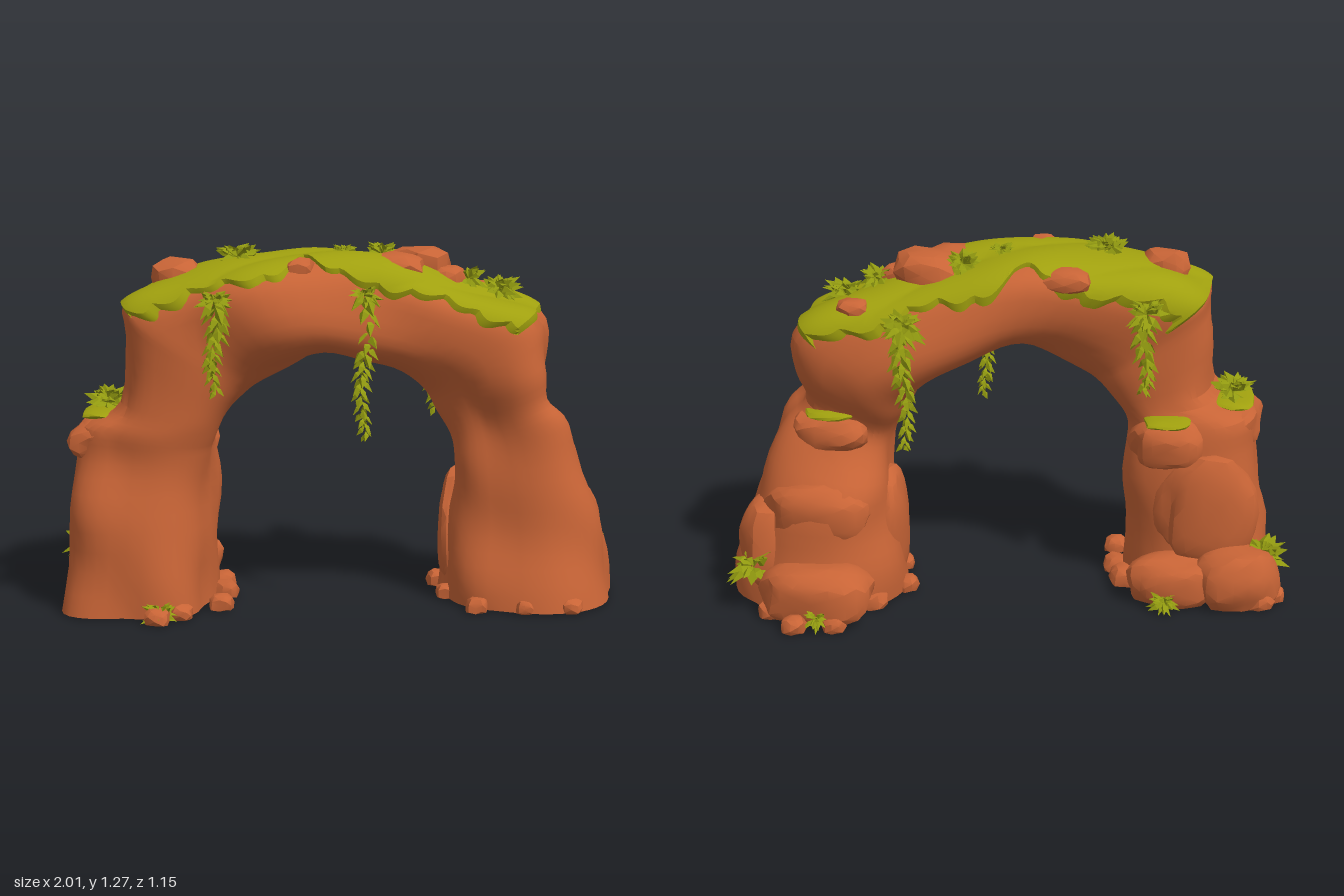
import * as THREE from 'three';
import { mergeGeometries, toCreasedNormals } from 'three/addons/utils/BufferGeometryUtils.js';

const rockMat = new THREE.MeshStandardMaterial({ color: 0xc86436 });
rockMat.name = 'red sandstone';
const mossMat = new THREE.MeshStandardMaterial({ color: 0xa0a00e, side: THREE.DoubleSide });
mossMat.name = 'moss green';
const leafMat = new THREE.MeshStandardMaterial({ color: 0x929a10, side: THREE.DoubleSide });
leafMat.name = 'leaf green';

let seed = 7;
const rnd = () => (seed = (seed * 16807) % 2147483647) / 2147483647;
const spow = (v, e) => Math.sign(v) * Math.abs(v) ** e;
// smooth lumps plus sharper ridges
const lumps = (x, y, z) =>
  0.5 * Math.sin(9 * x + 4 * y + 1) * Math.sin(8 * z - 5 * y) +
  0.6 * (Math.abs(Math.sin(7 * x + 9 * z + 2 * y)) - 0.6) +
  0.35 * Math.sin(17 * y + 6 * x) * Math.sin(13 * z + 5 * x);

// arch cross-sections: inner x,y, outer x,y, front z, back z
const sections = [
  [-0.40, 0.01, -0.94, 0.01, 0.51, -0.08], [-0.41, 0.30, -0.90, 0.30, 0.47, -0.06],
  [-0.41, 0.53, -0.88, 0.53, 0.43, -0.05], [-0.40, 0.60, -0.86, 0.655, 0.42, -0.03],
  [-0.36, 0.67, -0.70, 0.735, 0.40, 0.00], [-0.29, 0.74, -0.69, 1.00, 0.41, 0.00],
  [-0.24, 0.79, -0.67, 1.10, 0.42, -0.02], [-0.13, 0.87, -0.40, 1.19, 0.43, -0.09],
  [0.00, 0.91, -0.10, 1.24, 0.37, -0.16], [0.13, 0.87, 0.20, 1.20, 0.30, -0.23],
  [0.25, 0.83, 0.46, 1.12, 0.24, -0.28], [0.34, 0.76, 0.72, 1.03, 0.19, -0.29],
  [0.38, 0.69, 0.76, 0.86, 0.16, -0.26], [0.42, 0.60, 0.755, 0.735, 0.14, -0.20],
  [0.42, 0.50, 0.835, 0.64, 0.14, -0.24], [0.42, 0.38, 0.90, 0.41, 0.15, -0.34],
  [0.40, 0.20, 0.96, 0.20, 0.18, -0.38], [0.39, 0.01, 0.99, 0.01, 0.23, -0.40],
];
const LAST = sections.length - 1;
const curveOf = (i, j) => new THREE.CatmullRomCurve3(
  sections.map(s => new THREE.Vector3(s[i], s[j], 0)), false, 'catmullrom', 0.5);
const inner = curveOf(0, 1), outer = curveOf(2, 3), depth = curveOf(4, 5);

// point on the arch: t along the sections, a around them (0 = outer side), lifted by off
function archPoint(t, a, off = 0) {
  const i = inner.getPoint(t / LAST), o = outer.getPoint(t / LAST), d = depth.getPoint(t / LAST);
  const c = new THREE.Vector3().addVectors(i, o).multiplyScalar(0.5).setZ((d.x + d.y) / 2);
  // squarish bridge with a rounder underside, rounder legs
  const leg = THREE.MathUtils.smoothstep(Math.abs(t - 8.5), 3.5, 6);
  const e = (Math.cos(a) < 0 ? 0.74 : 0.62) + (Math.cos(a) < 0 ? 0.04 : 0.16) * leg;
  const p = o.sub(i).multiplyScalar(0.5 * spow(Math.cos(a), e));
  p.z = (d.x - d.y) / 2 * spow(Math.sin(a), e);
  const dir = p.clone().normalize();
  p.add(c);
  p.addScaledVector(dir, 0.032 * lumps(p.x, p.y, p.z) + off);
  p.y = Math.max(p.y, 0.01);
  return p;
}

// surface from a function of two grid indices
function grid(nu, nv, fn, capped) {
  const pos = [], index = [];
  for (let i = 0; i <= nu; i++) for (let j = 0; j <= nv; j++) pos.push(...fn(i, j).toArray());
  const id = (i, j) => i * (nv + 1) + j;
  for (let i = 0; i < nu; i++) for (let j = 0; j < nv; j++)
    index.push(id(i, j), id(i, j + 1), id(i + 1, j), id(i + 1, j), id(i, j + 1), id(i + 1, j + 1));
  if (capped) for (let j = 1; j < nv - 1; j++)
    index.push(id(0, 0), id(0, j + 1), id(0, j), id(nu, 0), id(nu, j), id(nu, j + 1));
  const g = new THREE.BufferGeometry();
  g.setAttribute('position', new THREE.Float32BufferAttribute(pos, 3));
  g.setIndex(index);
  return toCreasedNormals(g, 0.45);
}

// squarish, lumpy stone standing on or above the ground
function stone([x, y, z, rx, ry, rz], detail = 3) {
  const g = new THREE.IcosahedronGeometry(1, detail), p = g.attributes.position;
  for (let i = 0; i < p.count; i++) {
    const a = p.getX(i), b = p.getY(i), c = p.getZ(i);
    const k = 1 + 0.18 * lumps(a * 0.3 + x * 5, b * 0.3 + y * 5, c * 0.3 + z * 5);
    p.setXYZ(i, x + rx * k * spow(a, 0.8), Math.max(0.005, y + ry * k * spow(b, 0.8)), z + rz * k * spow(c, 0.8));
  }
  return toCreasedNormals(g, 0.5);
}

// folded pointed leaf from a base point along a direction
function leaf(base, dir, len, wide) {
  const d = dir.clone().normalize();
  const side = new THREE.Vector3(rnd() - 0.5, 0.8, rnd() - 0.5).cross(d).normalize().multiplyScalar(wide);
  const up = d.clone().cross(side).normalize().multiplyScalar(wide * 0.5);
  const mid = base.clone().addScaledVector(d, len * 0.5);
  const tip = base.clone().addScaledVector(d, len);
  tip.y -= len * 0.2;
  const l = mid.clone().add(side).sub(up), r = mid.clone().sub(side).sub(up);
  mid.add(up);
  const g = new THREE.BufferGeometry().setFromPoints(
    [base, mid, l, l, mid, tip, base, r, mid, mid, r, tip]);
  g.computeVertexNormals();
  return g;
}

// round tuft of broad leaves fanned around a point
function tuft(x, y, z, r) {
  const leaves = [], c = new THREE.Vector3(x, y, z);
  for (let i = 0; i < 38; i++) {
    const a = i * 2.4, e = 1.9 * rnd() - 0.55;
    const g = leaf(c, new THREE.Vector3(Math.cos(a), e, Math.sin(a)), r * (0.85 + 0.35 * rnd()), r * 0.24);
    // leaves never dip below the ground
    const p = g.attributes.position;
    for (let k = 0; k < p.count; k++) p.setY(k, Math.max(0.01, p.getY(k)));
    leaves.push(g);
  }
  return mergeGeometries(leaves);
}

// hanging vine: leaves in a tapering column
function vine(x, top, z, bottom) {
  const leaves = [], n = Math.round((top - bottom) * 100);
  for (let i = 0; i < n; i++) {
    const f = i / n, a = i * 2.4, y = top + (bottom + 0.04 - top) * f;
    const c = new THREE.Vector3(x + 0.012 * Math.sin(f * 7), y, z + 0.012 * Math.cos(f * 5));
    leaves.push(leaf(c, new THREE.Vector3(Math.cos(a), -0.9, Math.sin(a)), 0.075 * (1 - 0.5 * f), 0.019 * (1 - 0.4 * f)));
  }
  return mergeGeometries(leaves);
}

export function createModel() {
  const model = new THREE.Group();
  const add = (name, geo, mat) => {
    const m = new THREE.Mesh(geo, mat);
    m.name = name;
    model.add(m);
  };

  // main arch with both legs
  add('rockArch', grid(68, 40, (i, j) => archPoint(i / 68 * LAST, (j % 40) / 40 * Math.PI * 2), true), rockMat);

  // ledges and boulders against the legs
  for (const b of [
    [-0.76, 0.60, 0.21, 0.13, 0.085, 0.19], [-0.56, 0.57, 0.02, 0.14, 0.09, 0.12],
    [-0.82, 0.09, -0.08, 0.15, 0.12, 0.13], [-0.60, 0.08, -0.10, 0.16, 0.10, 0.11],
    [-0.70, 0.32, -0.01, 0.17, 0.22, 0.10],
    [0.64, 0.10, -0.40, 0.20, 0.11, 0.13], [0.66, 0.36, -0.26, 0.19, 0.11, 0.12],
    [0.62, 0.62, -0.14, 0.15, 0.08, 0.12], [0.84, 0.22, -0.20, 0.12, 0.18, 0.16],
    [0.71, 0.61, -0.02, 0.09, 0.09, 0.14], [0.43, 0.24, -0.10, 0.06, 0.21, 0.12],
    [0.56, 0.90, -0.05, 0.17, 0.12, 0.19],
  ]) add('boulder', stone(b), rockMat);

  // stones on the crown
  for (const b of [
    [-0.52, 1.16, 0.21, 0.085, 0.07, 0.09], [0.22, 1.185, 0.08, 0.11, 0.06, 0.11],
    [0.30, 1.195, -0.04, 0.11, 0.07, 0.10], [0.40, 1.15, 0.00, 0.06, 0.05, 0.07],
    [0.53, 1.09, -0.20, 0.06, 0.035, 0.05], [-0.20, 1.18, -0.08, 0.09, 0.045, 0.06],
    [-0.08, 1.20, 0.29, 0.05, 0.04, 0.05],
  ]) add('crownStone', stone(b, 1), rockMat);

  // pebbles round the feet: x, z, radius
  for (const [x, z, r] of [
    [-0.96, -0.06, 0.04], [-0.91, -0.12, 0.05], [-0.36, 0.30, 0.045], [-0.38, 0.12, 0.05],
    [-0.42, 0.02, 0.06], [-0.54, 0.52, 0.045], [-0.47, 0.45, 0.04], [0.37, -0.14, 0.045],
    [0.41, 0.04, 0.04], [0.53, 0.22, 0.04], [0.70, 0.22, 0.035], [0.86, 0.19, 0.04],
    [0.70, -0.53, 0.045], [0.56, -0.51, 0.04], [0.80, -0.42, 0.05], [0.46, -0.30, 0.05],
  ]) add('pebble', stone([x, 0.025, z, r, r * 0.8, r], 1), rockMat);

  // ragged moss blanket over the crown, its rim tucked into the rock
  add('mossBlanket', grid(100, 36, (i, j) => {
    const s = j / 18 - 1, t = 5.7 + 5.4 * i / 100;
    const back = s < 0 ? 1 : 0;
    const reach = Math.min(1.48, 0.98 + 0.22 * back + 0.14 * Math.sin(t * 4.3 + 2 * back)
      + 0.2 * Math.abs(Math.sin(t * 7 + 2 * back))
      - 0.7 * Math.exp(-(((t - 8.1) / 0.2) ** 2)));
    const rim = Math.min(1, (1 - Math.abs(s)) * 6, i / 3, (100 - i) / 3);
    return archPoint(t, s * reach, -0.008 + 0.024 * rim);
  }), mossMat);

  // moss pads on the ledges
  for (const b of [
    [-0.78, 0.685, 0.20, 0.08, 0.018, 0.14], [-0.56, 0.655, -0.01, 0.09, 0.016, 0.08],
    [0.62, 0.695, -0.18, 0.09, 0.016, 0.07],
  ]) add('mossPad', stone(b, 2), mossMat);

  // leafy tufts: x, y, z, radius
  for (const p of [
    [-0.78, 0.71, 0.18, 0.09], [-0.91, 0.15, -0.01, 0.10], [-0.54, 0.03, 0.49, 0.07],
    [-0.32, 1.225, 0.16, 0.085], [0.04, 1.24, 0.05, 0.05], [0.16, 1.225, -0.07, 0.07],
    [0.47, 1.145, -0.03, 0.075], [0.58, 1.10, -0.07, 0.085], [-0.57, 0.04, -0.20, 0.06],
    [0.88, 0.16, -0.35, 0.095], [0.87, 0.02, -0.26, 0.06], [0.62, 0.05, -0.52, 0.05],
    [-0.35, 1.10, 0.43, 0.065], [0.14, 1.11, 0.28, 0.065], [0.33, 1.07, -0.32, 0.08],
    [-0.48, 1.07, -0.08, 0.075],
  ]) add('leafTuft', tuft(...p), leafMat);

  // vines hanging over both sides: x, top, z, tip
  for (const v of [
    [-0.35, 1.12, 0.44, 0.76], [0.14, 1.14, 0.28, 0.59],
    [0.33, 1.08, -0.32, 0.59], [-0.48, 1.06, -0.09, 0.75],
  ]) add('hangingVine', vine(...v), leafMat);

  return model;
}
